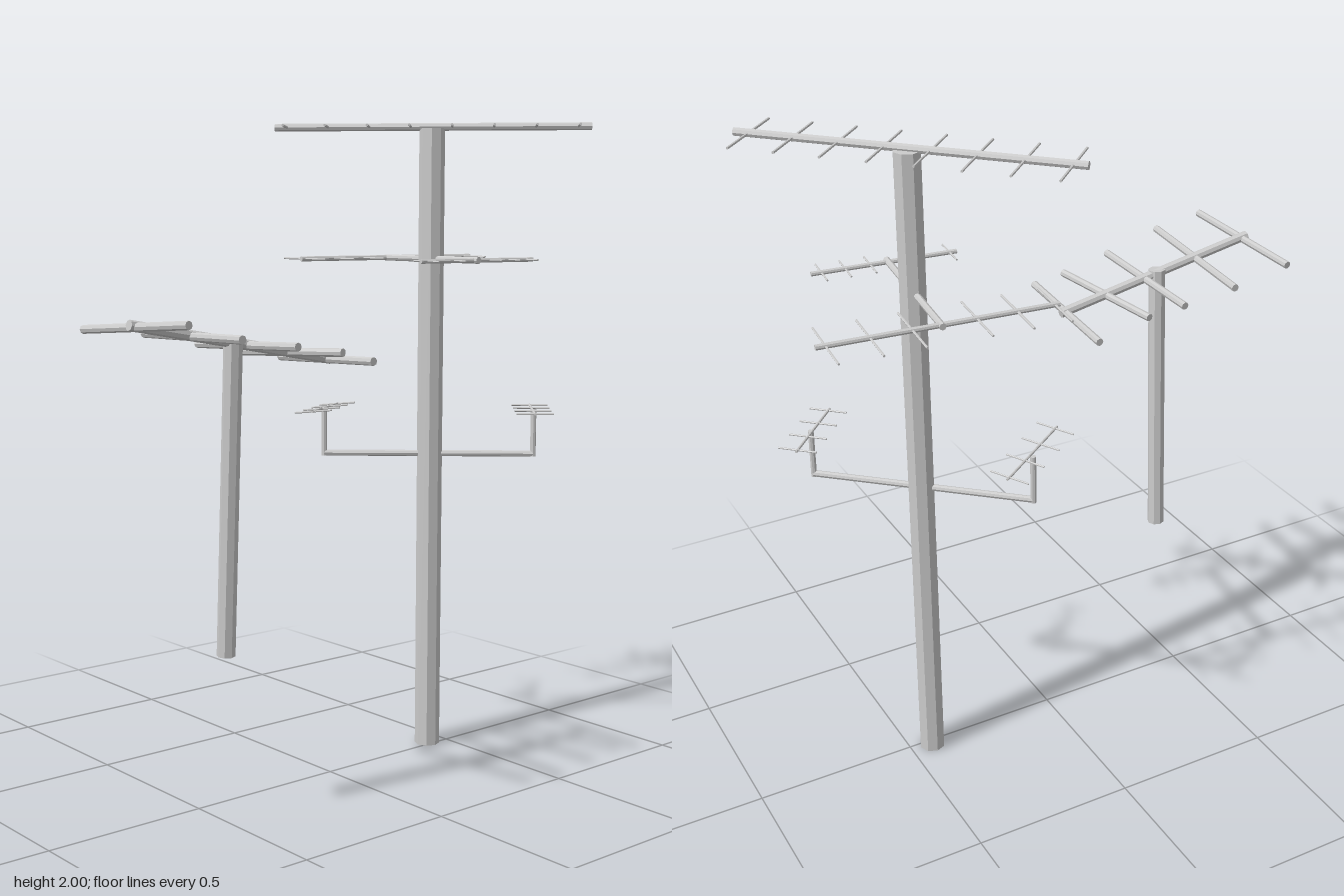
import * as THREE from 'three';

const material = new THREE.MeshStandardMaterial({ color: 0xcccccc, flatShading: true });
const V = (x, y, z) => new THREE.Vector3(x, y, z);

// Straight rod between two points
function rod(parent, name, a, b, radius, sides = 8) {
  const dir = b.clone().sub(a);
  const mesh = new THREE.Mesh(new THREE.CylinderGeometry(radius, radius, dir.length(), sides), material);
  mesh.name = name;
  mesh.position.copy(a).add(b).multiplyScalar(0.5);
  mesh.quaternion.setFromUnitVectors(V(0, 1, 0), dir.normalize());
  parent.add(mesh);
}

// Boom from a to b, crossed by thin elements at fractions ts of its length;
// roll lifts one end of each element
function comb(parent, name, a, b, radius, ts, half, thin, roll = 0) {
  const group = new THREE.Group();
  group.name = name;
  rod(group, 'boom', a, b, radius);
  const across = V(b.z - a.z, 0, a.x - b.x).normalize();
  across.y = roll;
  across.normalize().multiplyScalar(half);
  for (const t of ts) {
    const c = a.clone().lerp(b, t);
    rod(group, 'element', c.clone().sub(across), c.clone().add(across), thin, 6);
  }
  parent.add(group);
}

export function createModel() {
  const model = new THREE.Group();
  model.name = 'antennaMasts';

  // Tall mast
  const tall = new THREE.Group();
  tall.name = 'tallMast';
  model.add(tall);
  rod(tall, 'mast', V(-0.018, 0, -0.43), V(-0.018, 1.985, -0.43), 0.04);

  // Top antenna: eight even elements
  const even = Array.from({ length: 8 }, (_, i) => 0.04 + i * 0.131);
  comb(tall, 'topAntenna', V(-0.367, 1.99, -0.08), V(0.33, 1.99, -0.78), 0.012, even, 0.13, 0.004);

  // Middle crossarm with a large and a small antenna
  rod(tall, 'middleCrossarm', V(-0.265, 1.581, -0.457), V(0.222, 1.581, -0.402), 0.01);
  comb(tall, 'rightMiddleAntenna', V(-0.219, 1.581, -0.797), V(-0.284, 1.581, -0.118), 0.008,
    [0.04, 0.215, 0.385, 0.65, 0.82, 0.98], 0.117, 0.0035);
  comb(tall, 'leftMiddleAntenna', V(0.229, 1.581, -0.63), V(0.183, 1.581, -0.198), 0.007,
    [0.07, 0.23, 0.4, 0.72, 0.95], 0.062, 0.003);

  // Lower crossarm with upright posts and two little antennas
  const ends = [V(-0.245, 0.962, -0.18), V(0.202, 0.962, -0.677)];
  rod(tall, 'lowerCrossarm', ends[0], ends[1], 0.01);
  for (const e of ends) rod(tall, 'post', V(e.x, 0.953, e.z), V(e.x, 1.105, e.z), 0.009);
  const four = [0.04, 0.345, 0.655, 0.96];
  comb(tall, 'rightLowerAntenna', V(-0.325, 1.105, -0.305), V(-0.137, 1.114, -0.042), 0.004, four, 0.06, 0.003, 0.1);
  comb(tall, 'leftLowerAntenna', V(0.105, 1.105, -0.76), V(0.303, 1.105, -0.577), 0.004, four, 0.058, 0.003);

  // Short leaning mast with a tilted antenna
  const short = new THREE.Group();
  short.name = 'shortMast';
  model.add(short);
  rod(short, 'mast', V(0.128, 0.485, 0.49), V(0.175, 1.385, 0.49), 0.027);
  rod(short, 'boom', V(0.175, 1.31, 0.145), V(0.175, 1.434, 0.825), 0.015);
  // Slightly crooked elements: x1, y1, z1, x2, y2, z2
  const crooked = [
    [-0.047, 1.303, 0.153, 0.393, 1.318, 0.172],
    [-0.02, 1.33, 0.343, 0.372, 1.346, 0.265],
    [-0.047, 1.355, 0.452, 0.393, 1.371, 0.438],
    [-0.073, 1.39, 0.615, 0.429, 1.402, 0.648],
    [-0.047, 1.412, 0.827, 0.393, 1.443, 0.788],
  ];
  for (const [a, b, c, d, e, f] of crooked) rod(short, 'element', V(a, b, c), V(d, e, f), 0.012);

  return model;
}
